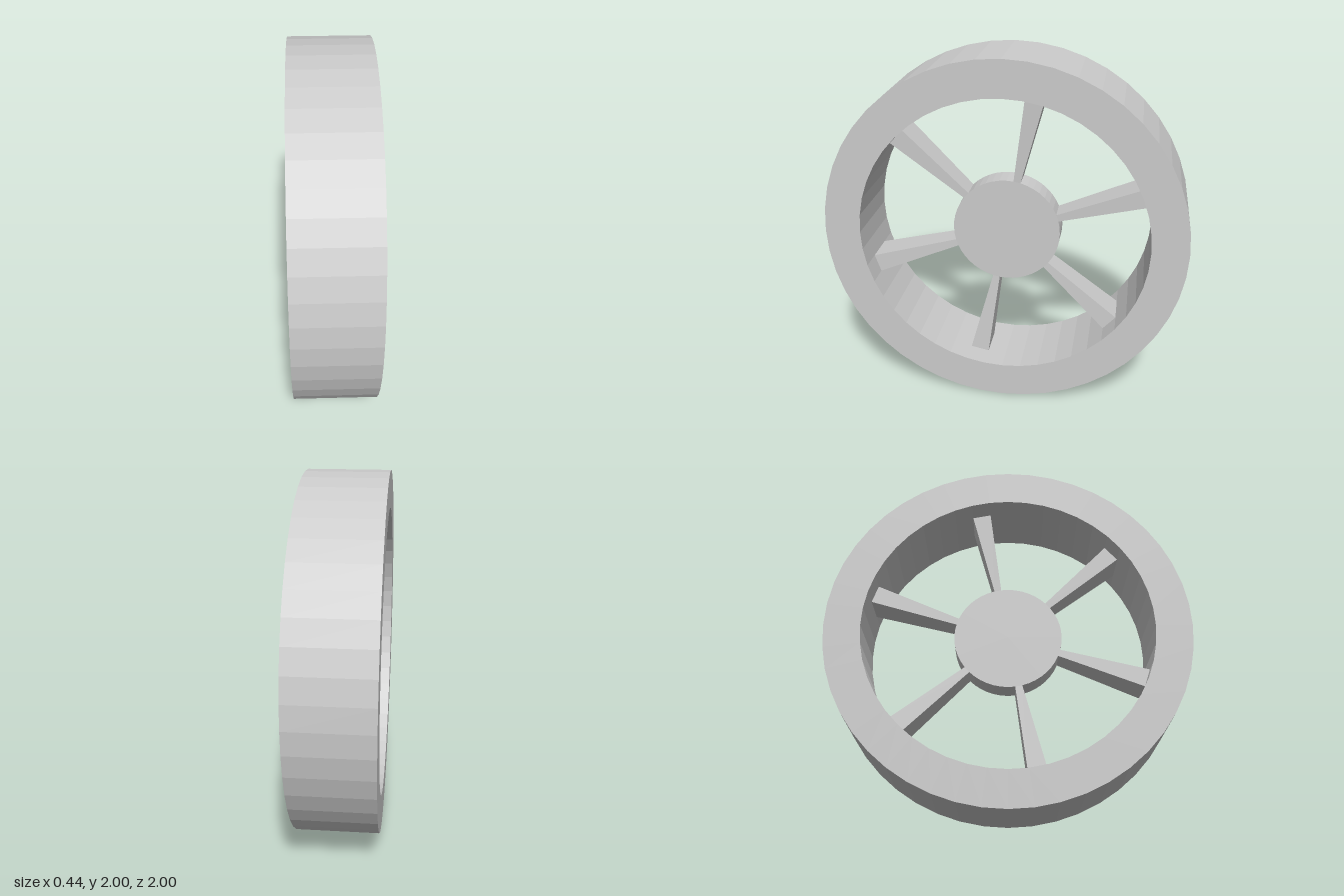
import * as THREE from 'three';

const SIDES = 48;
const STEP = (Math.PI * 2) / SIDES;
const RIM_R = 1, INNER_R = 0.8, HUB_R = 0.3;
const RIM_HALF = 0.222, HUB_HALF = 0.067, TIP_HALF = 0.094;

export function createModel() {
  const group = new THREE.Group();
  const material = new THREE.MeshStandardMaterial({ color: 0xcccccc, flatShading: true });

  const add = (name, geometry) => {
    const mesh = new THREE.Mesh(geometry, material);
    mesh.name = name;
    mesh.position.y = RIM_R;
    group.add(mesh);
    return mesh;
  };

  // Rim: rectangular section turned around the axle (x axis)
  const section = [
    [RIM_R, -RIM_HALF], [RIM_R, RIM_HALF],
    [INNER_R, RIM_HALF], [INNER_R, -RIM_HALF], [RIM_R, -RIM_HALF],
  ].map(([r, h]) => new THREE.Vector2(r, h));
  add('rim', new THREE.LatheGeometry(section, SIDES).rotateZ(Math.PI / 2));

  // Hub: solid disc
  add('hub', new THREE.CylinderGeometry(HUB_R, HUB_R, HUB_HALF * 2, SIDES).rotateZ(Math.PI / 2));

  // Spokes: boxes bent into wedges one rim facet wide, flush with the hub and widening to the rim
  const spoke = new THREE.BoxGeometry(1, 1, 1);
  const p = spoke.attributes.position;
  for (let i = 0; i < p.count; i++) {
    const outer = p.getY(i) > 0;
    const r = outer ? INNER_R : HUB_R;
    const half = outer ? TIP_HALF : HUB_HALF;
    const a = p.getZ(i) * STEP;
    p.setXYZ(i, p.getX(i) * 2 * half, r * Math.cos(a), r * Math.sin(a));
  }
  spoke.computeVertexNormals();
  for (let k = 0; k < 6; k++) {
    add(`spoke${k + 1}`, spoke).rotation.x = -(1.5 * STEP + (k * Math.PI) / 3);
  }

  return group;
}
